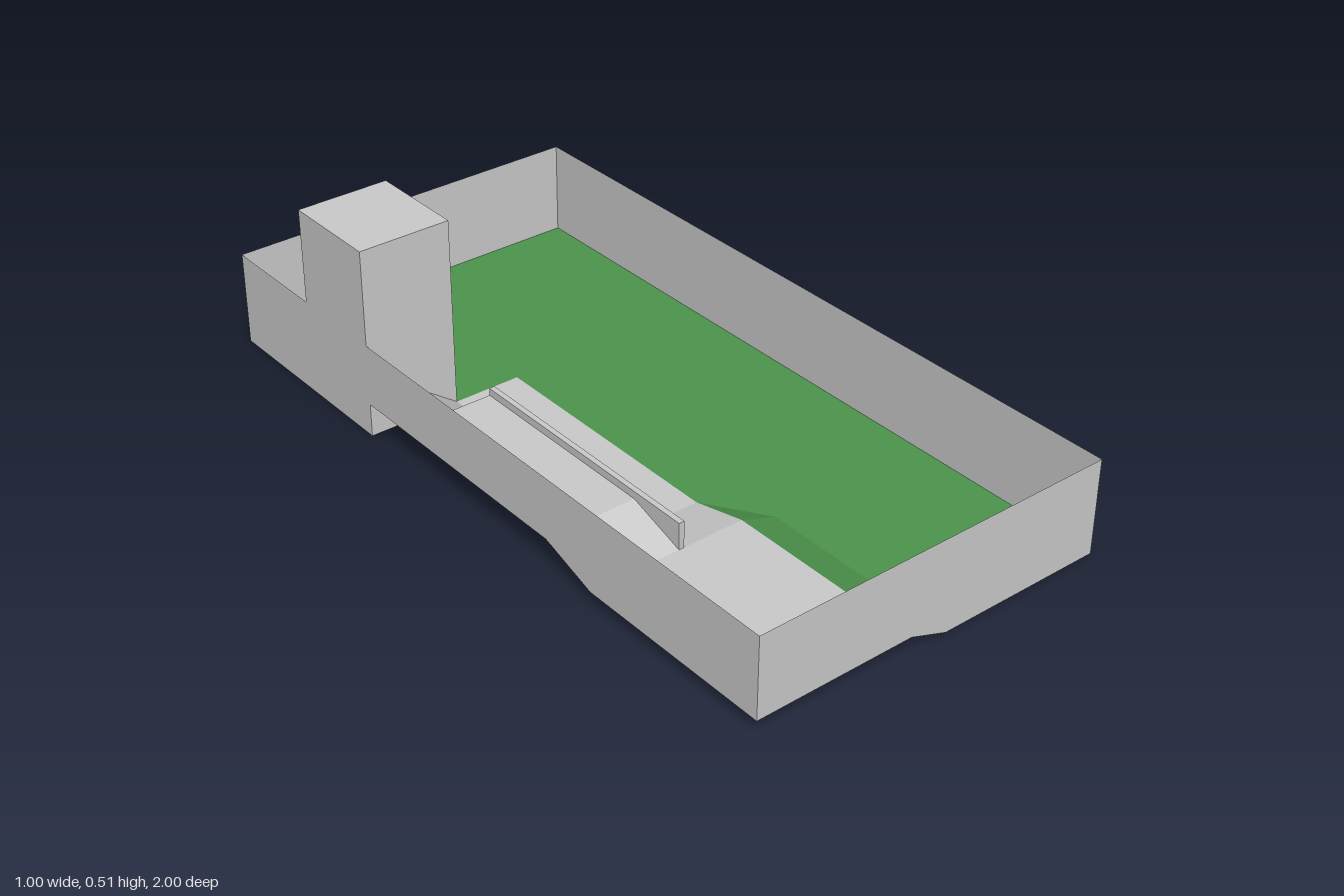
import * as THREE from 'three';

const grey = new THREE.MeshStandardMaterial({ color: 0xcccccc, side: THREE.DoubleSide, flatShading: true });
const green = new THREE.MeshStandardMaterial({ color: 0x4d964d, side: THREE.DoubleSide, flatShading: true });

// Key lines of the layout
const X0 = -0.5, X1 = 0.5, WALL = 0.255;
const PATH = -0.065, BANK = 0.04, RAIL = -0.235, INNER = -0.25, RAMP = -0.375;
const Z_TB = -0.69, Z_TF = -0.42, Z_RAMP = -0.275, Z_HI = 0.29, Z_LOW = 0.45;
const LOW = 0.038, HIGH = 0.09, TOWER = 0.51;

export function createModel() {
  const model = new THREE.Group();

  const add = (name, geometry, material) => {
    const mesh = new THREE.Mesh(geometry, material);
    mesh.name = name;
    model.add(mesh);
    return mesh;
  };

  // Flat convex polygon through 3D corners
  const panel = (name, material, ...pts) => {
    const pos = [];
    for (let i = 1; i < pts.length - 1; i++) pos.push(...pts[0], ...pts[i], ...pts[i + 1]);
    const g = new THREE.BufferGeometry();
    g.setAttribute('position', new THREE.Float32BufferAttribute(pos, 3));
    g.computeVertexNormals();
    return add(name, g, material);
  };

  // Floor strip from z0 (height y0) to z1 (height y1)
  const floor = (name, material, x0, x1, z0, z1, y0 = 0, y1 = y0) =>
    panel(name, material, [x0, y0, z0], [x0, y1, z1], [x1, y1, z1], [x1, y0, z0]);

  const shape = (pts) => new THREE.Shape(pts.map(([a, b]) => new THREE.Vector2(a, b)));
  const box = (a0, a1, b0, b1) => [[a0, b0], [a1, b0], [a1, b1], [a0, b1]];
  // Upright sheet facing z, or facing x (outline given as z, y)
  const sheetZ = (name, pts, z) => add(name, new THREE.ShapeGeometry(shape(pts)).translate(0, 0, z), grey);
  const sheetX = (name, s, x) => add(name, new THREE.ShapeGeometry(s).rotateY(-Math.PI / 2).translate(x, 0, 0), grey);

  // Lawn around the tower and path
  floor('backLawn', green, X0, X1, -1, Z_TB);
  floor('towerSideLawn', green, INNER, X1, Z_TB, Z_TF);
  floor('middleLawn', green, PATH, X1, Z_TF, Z_LOW);
  floor('frontLawn', green, BANK, X1, Z_LOW, 1);
  panel('bank', green, [PATH, LOW, Z_LOW], [PATH, LOW, 1], [BANK, 0, 1], [BANK, 0, Z_LOW]);
  panel('bankEnd', green, [PATH, LOW, Z_LOW], [BANK, 0, Z_LOW], [PATH, 0, Z_HI]);

  // Path: front terrace, then one lane down and one lane up
  floor('frontTerrace', grey, X0, PATH, Z_LOW, 1, LOW);
  floor('downSlope', grey, INNER, PATH, Z_HI, Z_LOW, 0, LOW);
  floor('lowerPath', grey, INNER, PATH, Z_TF, Z_HI);
  floor('upSlope', grey, X0, INNER, Z_HI, Z_LOW, HIGH, LOW);
  floor('upperPath', grey, X0, INNER, Z_RAMP, Z_HI, HIGH);
  floor('upperLanding', grey, X0, RAMP, Z_TF, Z_RAMP, HIGH);

  // Side ramp from the landing to the lower path
  panel('sideRamp', grey, [RAMP, HIGH, Z_TF], [RAMP, HIGH, Z_RAMP], [INNER, 0, Z_RAMP], [INNER, 0, Z_TF]);
  sheetZ('rampCheek', box(RAMP, INNER, 0, HIGH), Z_RAMP);

  // Thin parapet between the lanes
  const railLength = Z_LOW - Z_RAMP;
  add('parapet', new THREE.BoxGeometry(RAIL - INNER, 0.11, railLength), grey)
    .position.set((RAIL + INNER) / 2, 0.055, (Z_LOW + Z_RAMP) / 2);

  // Hollow tower with a doorway
  sheetZ('towerFront', box(X0, INNER, 0, TOWER), Z_TF);
  sheetZ('towerBack', box(X0, INNER, 0, TOWER), Z_TB);
  sheetX('towerLeft', shape(box(Z_TB, Z_TF, 0, TOWER)), X0);
  const [dB, dF, dH] = [-0.61, -0.51, 0.09];
  sheetX('towerDoorSide', shape([
    [Z_TB, 0], [dB, 0], [dB, dH], [dF, dH], [dF, 0], [Z_TF, 0], [Z_TF, TOWER], [Z_TB, TOWER],
  ]), INNER);
  floor('towerFloor', grey, X0, INNER, Z_TB, Z_TF);
  floor('towerRoof', grey, X0, INNER, Z_TB, Z_TF, TOWER);

  // Boundary walls whose lower edges follow the ground
  sheetZ('backWall', box(X0, X1, 0, WALL), -1);
  sheetZ('frontWall', [[X0, LOW], [PATH, LOW], [BANK, 0], [X1, 0], [X1, WALL], [X0, WALL]], 1);
  sheetX('eastWall', shape(box(-1, 1, 0, WALL)), X1);
  sheetX('westWallBack', shape(box(-1, Z_TB, 0, WALL)), X0);
  sheetX('westWallFront', shape([
    [Z_TF, HIGH], [Z_HI, HIGH], [Z_LOW, LOW], [1, LOW], [1, WALL], [Z_TF, WALL],
  ]), X0);

  return model;
}
